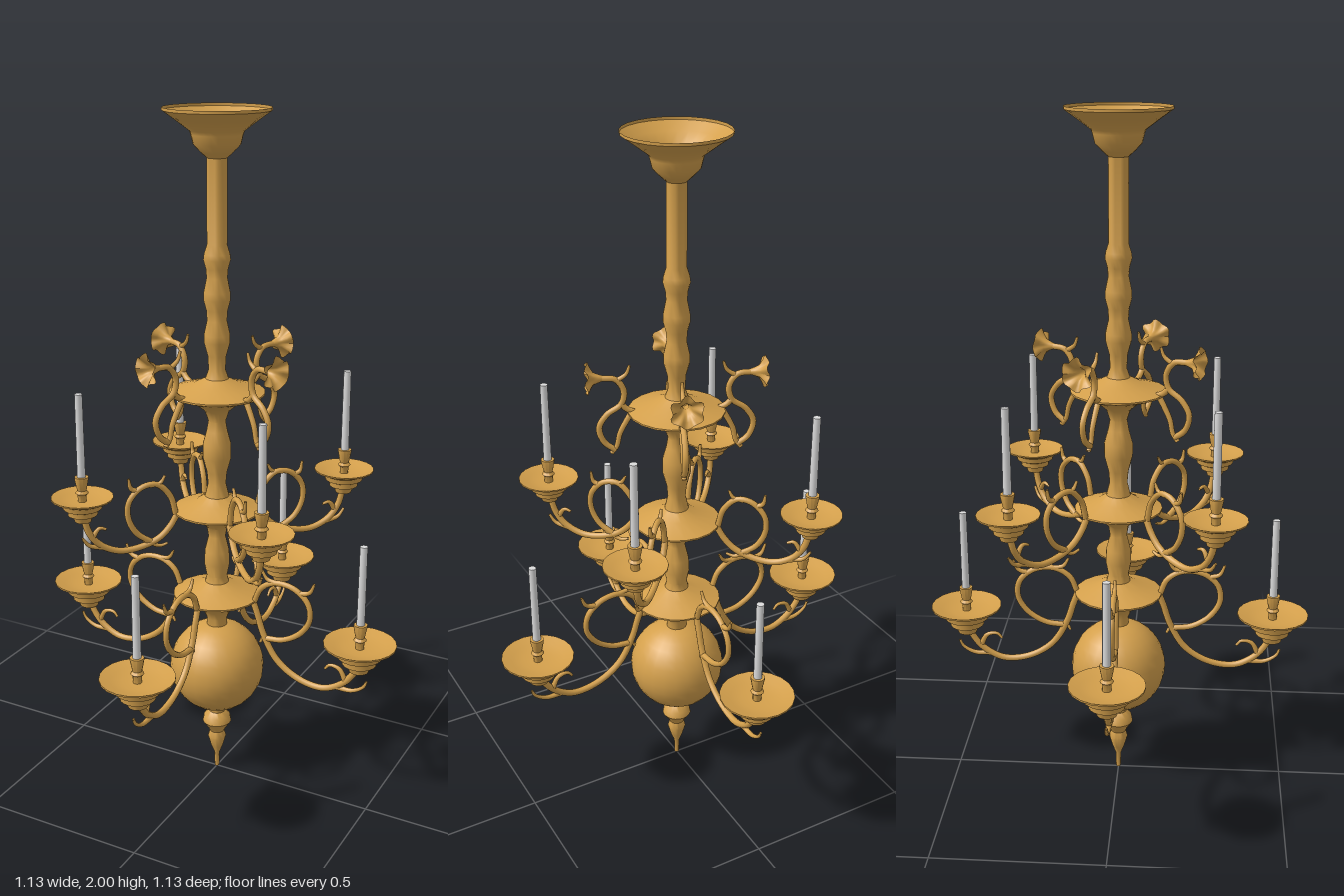
import * as THREE from 'three';
import { toCreasedNormals } from 'three/addons/utils/BufferGeometryUtils.js';

const brass = new THREE.MeshStandardMaterial({ color: 0xd4a04c, side: THREE.DoubleSide });
brass.name = 'brass';
const wax = new THREE.MeshStandardMaterial({ color: 0xdcdcdc });
wax.name = 'candle white';

function add(parent, geometry, material, name) {
  const mesh = new THREE.Mesh(geometry, material);
  mesh.name = name;
  parent.add(mesh);
  return mesh;
}

// Turned part from [radius, y] pairs, bottom to top
function turned(profile, sides = 20) {
  const g = new THREE.LatheGeometry(profile.map(([r, y]) => new THREE.Vector2(r, y)), sides);
  return toCreasedNormals(g, 0.75);
}

// Bent rod in the local xy plane, narrowing from radius r0 to r1
function rod(points, r0, r1) {
  const curve = new THREE.CatmullRomCurve3(points.map(([x, y]) => new THREE.Vector3(x, y, 0)));
  const steps = points.length * 5, sides = 8;
  const g = new THREE.TubeGeometry(curve, steps, 1, sides, false);
  const p = g.attributes.position, v = new THREE.Vector3();
  for (let i = 0; i <= steps; i++) {
    const c = curve.getPointAt(i / steps), r = r0 + (r1 - r0) * i / steps;
    for (let j = 0; j <= sides; j++) {
      const k = i * (sides + 1) + j;
      v.fromBufferAttribute(p, k).sub(c).multiplyScalar(r).add(c);
      p.setXYZ(k, v.x, v.y, v.z);
    }
  }
  return g;
}

// Drip pan, socket and candle; s is the pan's size, y the height of its rim
function candleHolder(parent, x, y, s) {
  const holder = new THREE.Group();
  holder.name = 'candleHolder';
  holder.position.set(x, y, 0);
  parent.add(holder);
  add(holder, turned([
    [0, -0.085], [0.028, -0.085], [0.034, -0.065], [0.05, -0.06], [0.052, -0.042],
    [0.066, -0.036], [0.07, -0.018], [0.105, -0.002], [0.105, 0.003],
    [0.075, -0.006], [0.045, -0.013], [0.012, -0.013],
  ].map(([r, h]) => [r * s, h * s])), brass, 'dripPan');
  add(holder, turned([
    [0.012, -0.02], [0.013, 0.008], [0.019, 0.014], [0.013, 0.022],
    [0.015, 0.03], [0.02, 0.056], [0.02, 0.062], [0, 0.062],
  ], 12), brass, 'socket');
  const candle = add(holder, new THREE.CylinderGeometry(0.011, 0.012, 0.245, 12), wax, 'candle');
  candle.position.y = 0.18;
}

// Flower with six wavy petals, opening along local +x
function flower() {
  const profile = [[0.008, 0], [0.012, 0.012], [0.018, 0.026], [0.03, 0.036], [0.044, 0.045]];
  const g = new THREE.LatheGeometry(profile.map(([r, y]) => new THREE.Vector2(r, y)), 36);
  const p = g.attributes.position;
  for (let i = 0; i < p.count; i++) {
    const x = p.getX(i), z = p.getZ(i);
    const t = Math.max(0, (Math.hypot(x, z) - 0.012) / 0.032);
    const wave = Math.cos(6 * Math.atan2(z, x)) * t;
    p.setXYZ(i, x * (1 + 0.12 * wave), p.getY(i) - 0.005 * wave, z * (1 + 0.12 * wave));
  }
  g.rotateZ(-Math.PI / 2);
  g.computeVertexNormals();
  return g;
}

// Four copies of an arm around the stem
function ring(parent, name, start, build) {
  for (let i = 0; i < 4; i++) {
    const arm = new THREE.Group();
    arm.name = name;
    arm.rotation.y = -start - i * Math.PI / 2;
    build(arm);
    parent.add(arm);
  }
}

export function createModel() {
  const model = new THREE.Group();
  model.name = 'chandelier';

  // Finial and ball
  add(model, turned([
    [0, 0], [0.007, 0.002], [0.008, 0.05], [0.018, 0.075], [0.028, 0.11], [0.022, 0.13],
    [0.03, 0.145], [0.044, 0.165], [0.04, 0.185], [0.024, 0.2], [0.03, 0.235],
  ]), brass, 'finial');
  const ball = add(model, new THREE.SphereGeometry(0.142, 24, 16), brass, 'ball');
  ball.position.y = 0.36;

  // Baluster stem with three flared discs
  add(model, turned([
    [0.03, 0.48], [0.03, 0.52], [0.04, 0.545], [0.065, 0.572], [0.13, 0.598], [0.13, 0.603],
    [0.07, 0.623], [0.035, 0.64], [0.03, 0.66], [0.038, 0.7], [0.036, 0.74], [0.025, 0.785],
    [0.03, 0.815], [0.06, 0.842], [0.128, 0.868], [0.128, 0.873], [0.065, 0.893], [0.035, 0.912],
    [0.026, 0.95], [0.029, 0.985], [0.041, 1.03], [0.041, 1.07], [0.03, 1.11], [0.025, 1.14],
    [0.035, 1.17], [0.065, 1.195], [0.137, 1.222], [0.137, 1.227], [0.07, 1.247], [0.033, 1.265],
  ]), brass, 'balusterStem');
  add(model, turned([
    [0.033, 1.265], [0.024, 1.29], [0.026, 1.33], [0.037, 1.37], [0.037, 1.39], [0.028, 1.43],
    [0.03, 1.46], [0.038, 1.49], [0.037, 1.51], [0.029, 1.55], [0.031, 1.575], [0.038, 1.6],
    [0.036, 1.615], [0.028, 1.64], [0.028, 1.87],
  ]), brass, 'upperStem');

  // Hollow ceiling cup
  add(model, turned([
    [0.028, 1.87], [0.045, 1.885], [0.064, 1.905], [0.07, 1.93], [0.074, 1.94],
    [0.115, 1.97], [0.146, 1.992], [0.146, 2],
  ], 24), brass, 'ceilingCup');

  // Lower tier
  ring(model, 'lowerArm', 0, (arm) => {
    add(arm, rod([[0.12, 0.6], [0.135, 0.56], [0.155, 0.5], [0.2, 0.425], [0.27, 0.38],
      [0.35, 0.37], [0.41, 0.4], [0.44, 0.435], [0.457, 0.47]], 0.01, 0.01), brass, 'mainScroll');
    add(arm, rod([[0.125, 0.6], [0.145, 0.645], [0.19, 0.672], [0.25, 0.667], [0.295, 0.63],
      [0.303, 0.58], [0.275, 0.53], [0.22, 0.495], [0.165, 0.487]], 0.009, 0.009), brass, 'upperScroll');
    for (const spur of [
      [[0.2, 0.672], [0.165, 0.68], [0.148, 0.705]],
      [[0.27, 0.655], [0.3, 0.665], [0.315, 0.695]],
      [[0.19, 0.49], [0.155, 0.485], [0.145, 0.47]],
      [[0.39, 0.385], [0.44, 0.385], [0.475, 0.405], [0.485, 0.425]],
      [[0.42, 0.41], [0.4, 0.445], [0.37, 0.45], [0.355, 0.435]],
    ]) add(arm, rod(spur, 0.009, 0.004), brass, 'leafSpur');
    candleHolder(arm, 0.46, 0.54, 1);
  });

  // Middle tier
  ring(model, 'middleArm', Math.PI / 4, (arm) => {
    add(arm, rod([[0.12, 0.87], [0.14, 0.835], [0.175, 0.8], [0.23, 0.778], [0.295, 0.774],
      [0.35, 0.8], [0.38, 0.84], [0.394, 0.89]], 0.01, 0.01), brass, 'mainScroll');
    add(arm, rod([[0.125, 0.87], [0.14, 0.925], [0.18, 0.965], [0.225, 0.96], [0.262, 0.92],
      [0.265, 0.87], [0.24, 0.82], [0.19, 0.785]], 0.009, 0.009), brass, 'upperScroll');
    for (const spur of [
      [[0.2, 0.965], [0.17, 0.968], [0.155, 0.99]],
      [[0.235, 0.95], [0.255, 0.96], [0.262, 0.99]],
      [[0.22, 0.8], [0.175, 0.775], [0.15, 0.78]],
      [[0.34, 0.79], [0.38, 0.8], [0.4, 0.825]],
      [[0.37, 0.825], [0.35, 0.85], [0.33, 0.845]],
    ]) add(arm, rod(spur, 0.009, 0.004), brass, 'leafSpur');
    candleHolder(arm, 0.396, 0.95, 0.84);
  });

  // Flower tier
  ring(model, 'flowerArm', Math.PI / 8, (arm) => {
    add(arm, rod([[0.21, 1.33], [0.17, 1.325], [0.147, 1.29], [0.155, 1.25], [0.195, 1.22],
      [0.218, 1.18], [0.205, 1.135], [0.175, 1.11]], 0.009, 0.009), brass, 'flowerStem');
    add(arm, rod([[0.125, 1.225], [0.14, 1.2], [0.16, 1.16], [0.17, 1.12], [0.185, 1.1]],
      0.009, 0.007), brass, 'innerScroll');
    add(arm, rod([[0.165, 1.322], [0.14, 1.34], [0.13, 1.365]], 0.008, 0.004), brass, 'leafSpur');
    add(arm, rod([[0.155, 1.25], [0.14, 1.235], [0.12, 1.225]], 0.009, 0.009), brass, 'discJoint');
    const head = add(arm, flower(), brass, 'flower');
    head.position.set(0.205, 1.33, 0);
  });

  return model;
}
